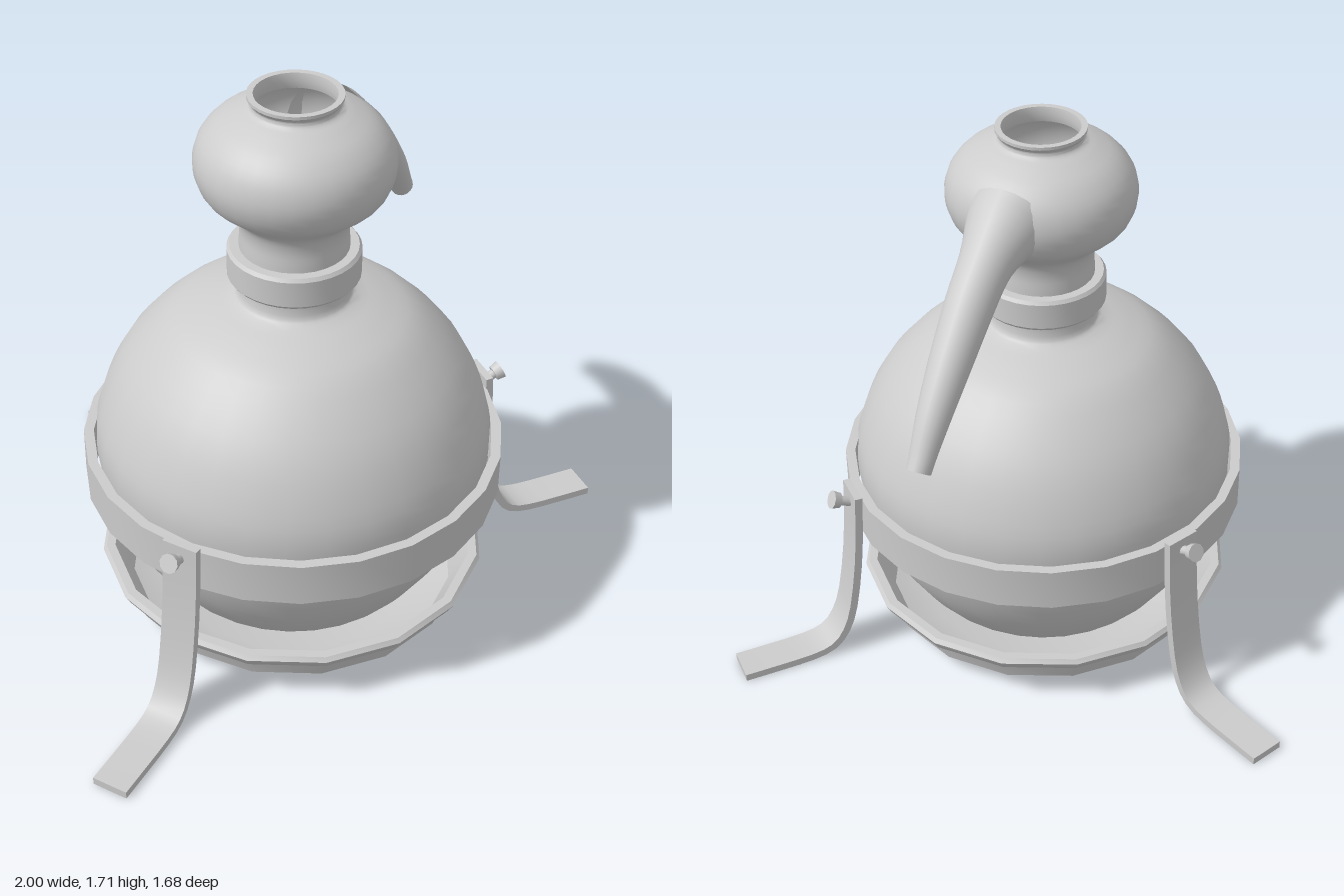
import * as THREE from 'three';
import { toCreasedNormals } from 'three/addons/utils/BufferGeometryUtils.js';

const material = new THREE.MeshStandardMaterial({ color: 0xcccccc, side: THREE.DoubleSide });
const vectors = (pts) => pts.map(([x, y]) => new THREE.Vector2(x, y));
const smooth = (pts, n) => new THREE.SplineCurve(vectors(pts)).getPoints(n);

function addMesh(parent, name, geometry) {
  const mesh = new THREE.Mesh(geometry, material);
  mesh.name = name;
  parent.add(mesh);
  return mesh;
}

// Revolved part, sharp only at strong profile corners
function addLathe(parent, name, points, sides) {
  return addMesh(parent, name, toCreasedNormals(new THREE.LatheGeometry(points, sides), 0.6));
}

// Tube whose radius follows a list of values along the path
function taperedTube(path, radii, steps, sides) {
  const geo = new THREE.TubeGeometry(path, steps, 1, sides);
  const pos = geo.attributes.position;
  const v = new THREE.Vector3();
  const radiusCurve = new THREE.SplineCurve(radii.map((r, i) => new THREE.Vector2(i, r)));
  for (let i = 0; i < pos.count; i++) {
    const t = Math.floor(i / (sides + 1)) / steps;
    const c = path.getPointAt(t);
    v.fromBufferAttribute(pos, i).sub(c).multiplyScalar(radiusCurve.getPoint(t).y).add(c);
    pos.setXYZ(i, v.x, v.y, v.z);
  }
  return toCreasedNormals(geo, 0.9);
}

// Bent flat strip: offset a centre line to both sides, then extrude its width
function stripGeometry(pts, thickness, width) {
  const curve = new THREE.SplineCurve(vectors(pts));
  const a = [], b = [];
  const n = 16;
  for (let i = 0; i <= n; i++) {
    const p = curve.getPoint(i / n);
    const t = curve.getTangent(i / n);
    const off = new THREE.Vector2(-t.y, t.x).multiplyScalar(thickness / 2);
    a.push(p.clone().add(off));
    b.unshift(p.clone().sub(off));
  }
  const geo = new THREE.ExtrudeGeometry(new THREE.Shape([...a, ...b]), { depth: width, bevelEnabled: false });
  geo.translate(0, 0, -width / 2);
  return toCreasedNormals(geo, 0.6);
}

function createLeg(angle) {
  const leg = new THREE.Group();
  leg.name = 'leg';
  addMesh(leg, 'legStrip', stripGeometry([
    [0.642, 0.6], [0.648, 0.48], [0.66, 0.34], [0.685, 0.18], [0.715, 0.09],
    [0.76, 0.037], [0.83, 0.018], [0.94, 0.014], [1.055, 0.013],
  ], 0.024, 0.11));

  // Clamping screw tilted slightly upward
  const screw = new THREE.Group();
  screw.name = 'screw';
  screw.position.set(0.64, 0.55, 0);
  screw.rotation.z = -Math.PI / 2 + 0.42;
  addMesh(screw, 'screwShaft', new THREE.CylinderGeometry(0.015, 0.015, 0.07, 10)).position.y = 0.025;
  addMesh(screw, 'screwHead', new THREE.CylinderGeometry(0.029, 0.024, 0.026, 10)).position.y = 0.065;
  leg.add(screw);

  leg.rotation.y = -angle;
  return leg;
}

export function createModel() {
  const model = new THREE.Group();
  model.name = 'alembic';
  const body = new THREE.Group();
  body.name = 'body';
  body.position.set(-0.055, 0, 0.205);
  model.add(body);

  // Round boiling flask with its short neck
  addLathe(body, 'flask', [
    new THREE.Vector2(0, 0.045),
    ...smooth([
      [0.32, 0.05], [0.39, 0.1], [0.455, 0.18], [0.52, 0.29], [0.57, 0.43], [0.592, 0.58], [0.572, 0.7],
      [0.5, 0.85], [0.375, 0.985], [0.27, 1.04], [0.19, 1.068], [0.165, 1.09], [0.162, 1.16],
    ], 40),
  ], 32);

  // Collar joining flask and head
  addLathe(body, 'collar', vectors([
    [0.15, 1.135], [0.185, 1.135], [0.193, 1.145], [0.193, 1.225], [0.185, 1.235], [0.15, 1.235], [0.15, 1.135],
  ]), 32);

  // Bulbous head, open at the top
  addLathe(body, 'head', smooth([
    [0.16, 1.2], [0.158, 1.25], [0.156, 1.3], [0.17, 1.345], [0.215, 1.385], [0.262, 1.43], [0.284, 1.5],
    [0.27, 1.57], [0.225, 1.625], [0.165, 1.66], [0.132, 1.675], [0.125, 1.69], [0.134, 1.707],
  ], 40), 32);
  addLathe(body, 'mouthRim', vectors([
    [0.124, 1.69], [0.134, 1.704], [0.134, 1.713], [0.116, 1.713], [0.112, 1.69], [0.118, 1.665],
  ]), 32);

  // Curved tapering spout, hollow at the tip
  const spout = new THREE.Group();
  spout.name = 'spout';
  spout.rotation.y = Math.atan2(0.405, 0.66);
  const path = new THREE.CatmullRomCurve3(
    [[0.2, 1.515], [0.3, 1.475], [0.4, 1.412], [0.487, 1.335], [0.674, 1.14], [0.776, 1.005]]
      .map(([r, y]) => new THREE.Vector3(r, y, 0)));
  addMesh(spout, 'spoutTube', taperedTube(path, [0.125, 0.082, 0.071, 0.062, 0.05, 0.036], 24, 20));
  body.add(spout);

  // Support band around the flask
  addLathe(body, 'supportBand', vectors([
    [0.6, 0.44], [0.63, 0.44], [0.63, 0.575], [0.6, 0.575], [0.6, 0.44],
  ]), 24);

  // Shallow burner tray
  addLathe(body, 'tray', vectors([
    [0, 0.004], [0.4, 0.004], [0.525, 0.055], [0.545, 0.115], [0.575, 0.135], [0.592, 0.165],
    [0.582, 0.178], [0.555, 0.178], [0.525, 0.13], [0.5, 0.07], [0.39, 0.025], [0, 0.025],
  ]), 16);

  // Three bracket legs
  for (const degrees of [8.4, 151, 262.6]) body.add(createLeg(THREE.MathUtils.degToRad(degrees)));

  return model;
}
